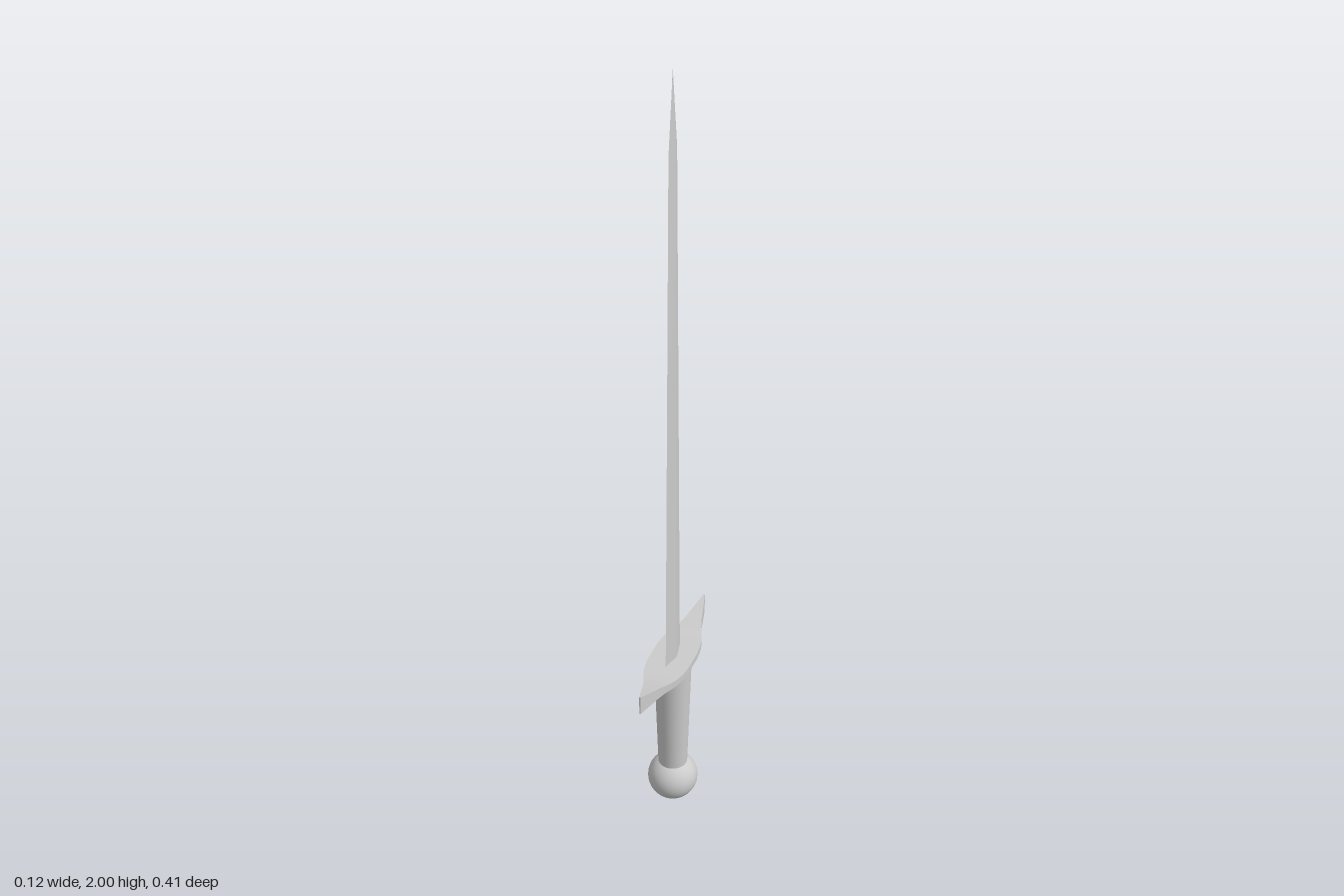
import * as THREE from 'three';
import { toCreasedNormals } from 'three/addons/utils/BufferGeometryUtils.js';

const material = new THREE.MeshStandardMaterial({ color: 0xcccccc });

// Skin a list of equal-length rings, counter-clockwise seen from the far end, and cap both ends.
function loft(rings, crease) {
  const n = rings[0].length;
  const index = [];
  for (let i = 0; i < rings.length - 1; i++) {
    for (let j = 0; j < n; j++) {
      const k = (j + 1) % n;
      const a = i * n + j, b = i * n + k, c = b + n, d = a + n;
      index.push(a, b, c, a, c, d);
    }
  }
  const last = (rings.length - 1) * n;
  for (let j = 1; j < n - 1; j++) {
    index.push(0, j + 1, j, last, last + j, last + j + 1);
  }
  const geometry = new THREE.BufferGeometry();
  geometry.setAttribute('position', new THREE.Float32BufferAttribute(rings.flat(2), 3));
  geometry.setIndex(index);
  return toCreasedNormals(geometry, crease);
}

export function createModel() {
  const sword = new THREE.Group();
  sword.name = 'sword';
  const add = (name, geometry, y = 0) => {
    const mesh = new THREE.Mesh(geometry, material);
    mesh.name = name;
    mesh.position.y = y;
    sword.add(mesh);
  };

  // Blade: diamond section tapering to a point [y, half thickness, half width]
  const bladeSections = [[0.43, 0.01, 0.045], [1.81, 0.008, 0.024], [2, 0.0004, 0.0004]];
  add('blade', loft(bladeSections.map(([y, x, z]) =>
    [[x, y, 0], [0, y, -z], [-x, y, 0], [0, y, z]]), 0.1));

  // Crossguard: flat underside, rising pointed ends [z, half width, top]
  const half = [
    [0, 0.051, 0.445], [0.03, 0.051, 0.445], [0.055, 0.048, 0.445], [0.08, 0.042, 0.446],
    [0.1, 0.034, 0.448], [0.115, 0.027, 0.451], [0.135, 0.02, 0.457],
    [0.16, 0.0135, 0.465], [0.203, 0.0015, 0.479],
  ];
  const guardSections = [...half.slice(1).reverse().map(([z, w, t]) => [-z, w, t]), ...half];
  add('crossguard', loft(guardSections.map(([z, w, t]) =>
    [[w, 0.428, z], [w, t, z], [-w, t, z], [-w, 0.428, z]]), 0.6));

  // Grip, narrowing towards the pommel
  add('grip', new THREE.CylinderGeometry(0.045, 0.035, 0.33, 32), 0.265);

  // Ball pommel
  add('pommel', new THREE.SphereGeometry(0.061, 32, 20), 0.062);

  return sword;
}
